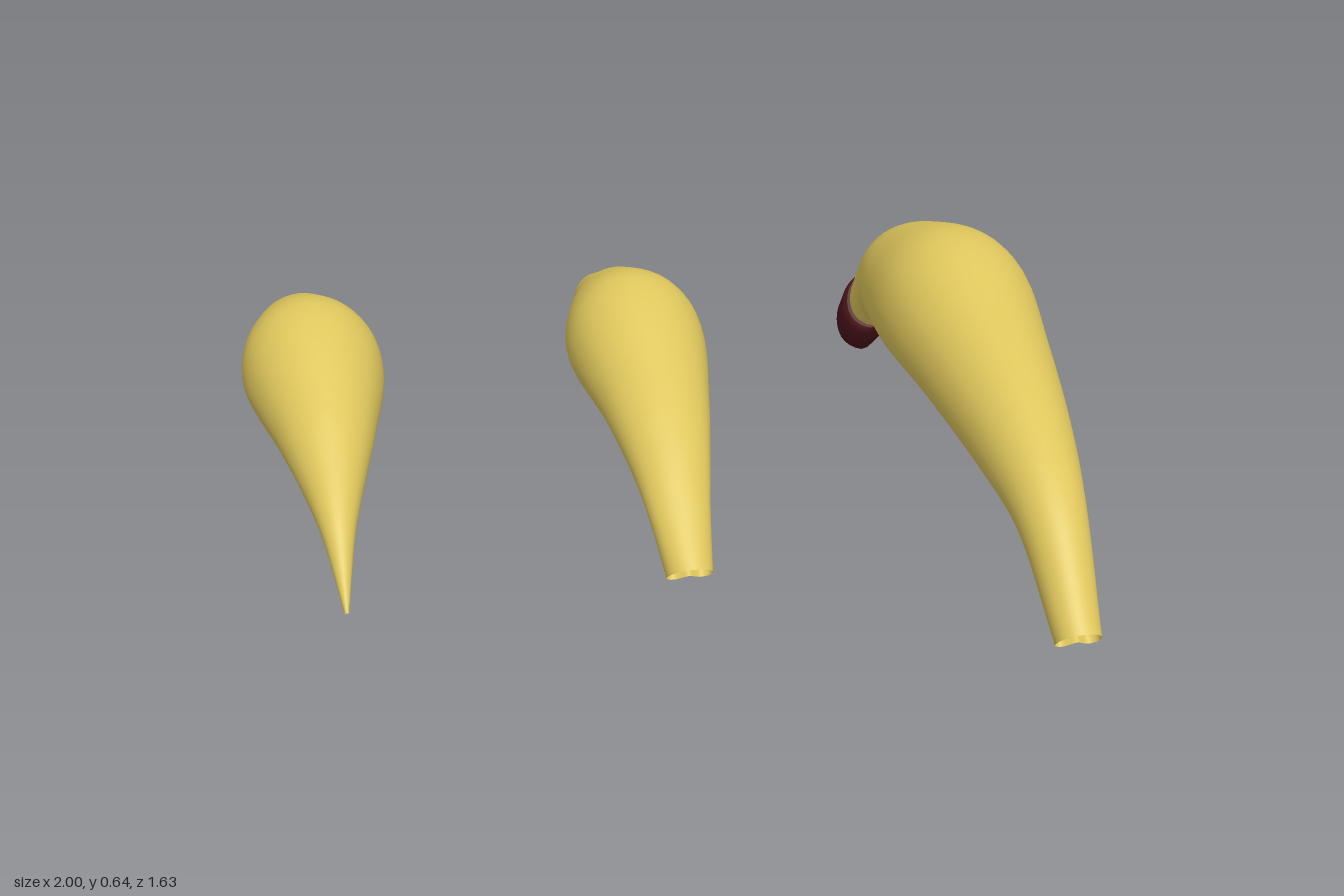
import * as THREE from 'three';
import { toCreasedNormals } from 'three/addons/utils/BufferGeometryUtils.js';

const AROUND = 48;
const FLOOR = -0.5; // level of the two lower lobes in the unit section

// Unit cross-section: round back, two lobes and a groove underneath
const half = [[0.5, 0.87], [0.87, 0.5], [1, 0], [0.9, -0.32], [0.6, -0.5], [0.28, -0.3]];
const outline = [
  [0, 1], ...half, [0, -0.1],
  ...half.slice().reverse().map(([x, y]) => [-x, y]),
].map(([x, y]) => new THREE.Vector3(x, y, 0));
const section = new THREE.CatmullRomCurve3(outline, true).getSpacedPoints(AROUND).slice(0, AROUND);

// One ring of points between a top (z, y) and a bottom (z, y), scaled about its middle
function ringOf([tz, ty, bz, by, w, cx], scale = 1) {
  return section.map((p) => {
    const v = 0.25 + (p.y - 0.25) * scale;
    const f = (v - FLOOR) / (1 - FLOOR);
    return [cx + p.x * w * scale, by + (ty - by) * f, bz + (tz - bz) * f];
  });
}

// Skin a list of rings
function loft(rings) {
  const index = [];
  for (let i = 0; i < rings.length - 1; i++) {
    for (let j = 0; j < AROUND; j++) {
      const k = (j + 1) % AROUND;
      const a = i * AROUND + j, b = i * AROUND + k;
      index.push(a, b, a + AROUND, b, b + AROUND, a + AROUND);
    }
  }
  const geometry = new THREE.BufferGeometry();
  geometry.setAttribute('position', new THREE.Float32BufferAttribute(rings.flat(2), 3));
  geometry.setIndex(index);
  geometry.computeVertexNormals();
  return geometry;
}

// Smooth open horn through a few stations: top z, top y, bottom z, bottom y, half width, centre x
function horn(name, stations, material) {
  const top = new THREE.CatmullRomCurve3(stations.map((s) => new THREE.Vector3(s[5], s[1], s[0])));
  const bottom = new THREE.CatmullRomCurve3(stations.map((s) => new THREE.Vector3(s[4], s[3], s[2])));
  const rings = [];
  const steps = 56;
  for (let i = 0; i <= steps; i++) {
    const t = top.getPoint(i / steps), b = bottom.getPoint(i / steps);
    rings.push(ringOf([t.z, t.y, b.z, b.y, b.x, t.x]));
  }
  const mesh = new THREE.Mesh(loft(rings), material);
  mesh.name = name;
  return mesh;
}

export function createModel() {
  const group = new THREE.Group();
  const yellow = new THREE.MeshStandardMaterial({ color: 0xdec65c, side: THREE.DoubleSide });
  const maroon = new THREE.MeshStandardMaterial({ color: 0x4a1418, side: THREE.DoubleSide });

  // Large horn
  group.add(horn('largeHorn', [
    [0.813, 0.06, 0.756, 0.005, 0.055, 0.765],
    [0.595, 0.292, 0.52, 0.187, 0.085, 0.775],
    [0.376, 0.42, 0.32, 0.24, 0.118, 0.785],
    [0, 0.56, 0, 0.297, 0.168, 0.795],
    [-0.28, 0.645, -0.26, 0.322, 0.2, 0.8],
    [-0.5, 0.6, -0.44, 0.334, 0.178, 0.795],
    [-0.63, 0.546, -0.53, 0.338, 0.148, 0.785],
    [-0.717, 0.46, -0.58, 0.315, 0.125, 0.772],
    [-0.752, 0.398, -0.614, 0.278, 0.118, 0.765],
    [-0.785, 0.35, -0.65, 0.235, 0.115, 0.765],
  ], yellow));

  // Rear halves shared by the two small horns
  const rear = [
    [-0.28, 0.6, -0.26, 0.335, 0.17, 0],
    [-0.45, 0.565, -0.42, 0.345, 0.138, 0],
    [-0.58, 0.512, -0.54, 0.36, 0.092, 0.003],
    [-0.715, 0.455, -0.68, 0.355, 0.07, 0.005],
  ];
  const blunt = [
    [0.437, 0.14, 0.376, 0.09, 0.055, -0.025],
    [0.315, 0.25, 0.255, 0.193, 0.075, -0.02],
    [0.2, 0.345, 0.15, 0.245, 0.095, -0.013],
    [0, 0.472, -0.02, 0.302, 0.13, -0.005],
  ];
  const pointed = [
    [0.39, 0.101, 0.383, 0.095, 0.005, -0.025],
    [0.26, 0.268, 0.235, 0.215, 0.04, -0.018],
    [0.13, 0.378, 0.1, 0.268, 0.078, -0.01],
    [0, 0.47, -0.02, 0.305, 0.115, -0.005],
  ];
  const shift = (list, x) => list.map((s) => [...s.slice(0, 5), s[5] + x]);
  group.add(horn('middleHorn', shift([...blunt, ...rear], -0.03), yellow));
  group.add(horn('pointedHorn', shift([...pointed, ...rear], -0.83), yellow));

  // Collar on the rear end of the large horn: [position along axis, scale]
  const start = [-0.759, 0.398, -0.602, 0.27], travel = [-0.069, -0.086, -0.069, -0.086];
  const profile = [
    [0, 0.83], [0, 0.92], [0.06, 0.97], [0.18, 1], [0.82, 1],
    [0.94, 0.97], [1, 0.92], [1, 0.83], [0, 0.83],
  ];
  const collarRings = profile.map(([t, scale]) =>
    ringOf([...start.map((v, i) => v + travel[i] * t), 0.138, 0.765], scale));
  const collar = new THREE.Mesh(toCreasedNormals(loft(collarRings), 0.7), maroon);
  collar.name = 'collar';
  group.add(collar);

  return group;
}
